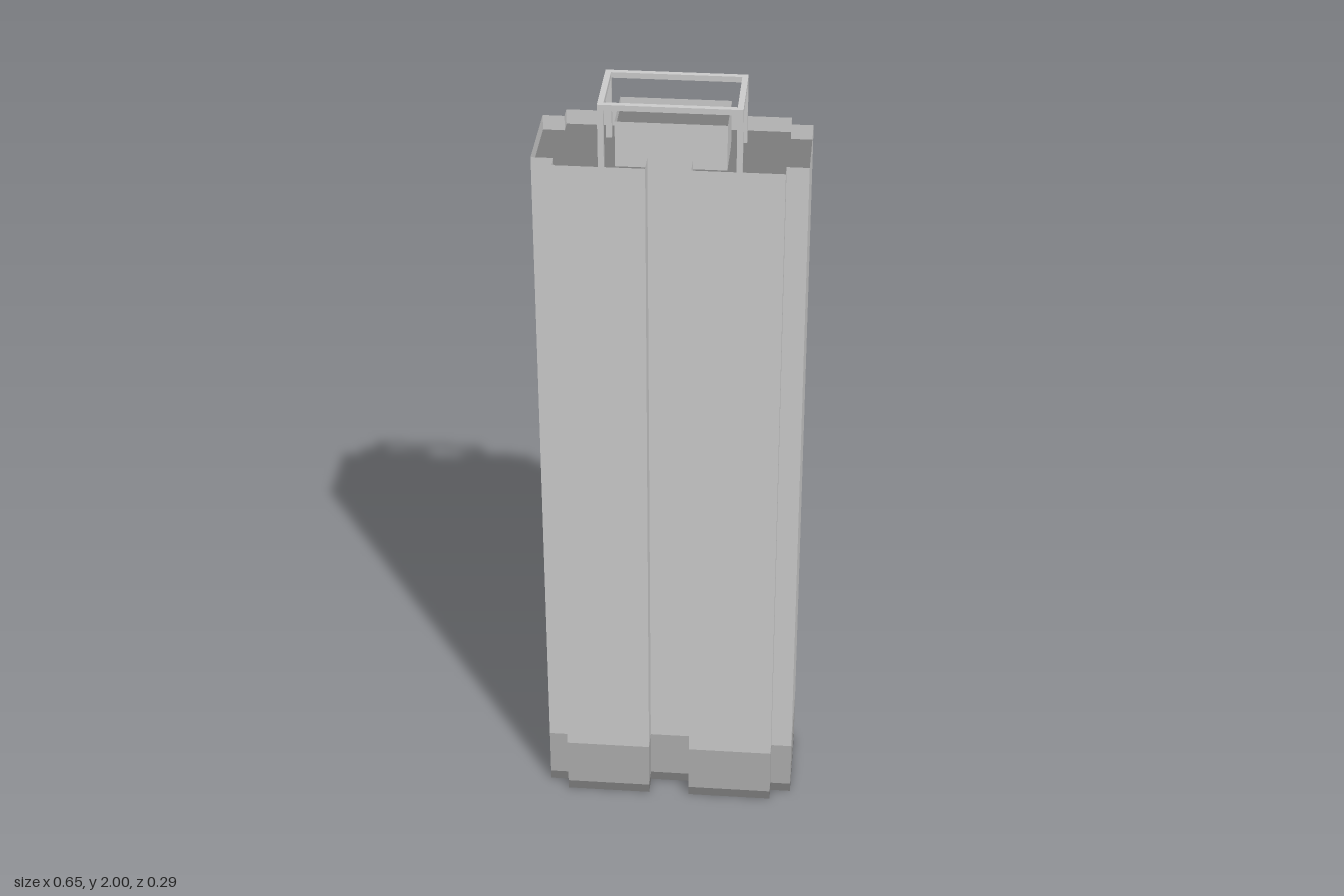
import * as THREE from 'three';

const material = (color) =>
  new THREE.MeshStandardMaterial({ color, flatShading: true, side: THREE.DoubleSide });

// Mirror one quarter of a plan into a full outline, counter-clockwise from above
function mirrorPlan(quarter) {
  const half = [...quarter, ...quarter.map(([x, y]) => [-x, y]).reverse()];
  return [...half, ...half.map(([x, y]) => [x, -y]).reverse()];
}

// Thin upright walls that follow an outline
function wallGeometry(outline, y0, y1) {
  const positions = [];
  outline.forEach(([ax, ay], i) => {
    const [bx, by] = outline[(i + 1) % outline.length];
    const a = [ax, y0, -ay], b = [bx, y0, -by], c = [bx, y1, -by], d = [ax, y1, -ay];
    positions.push(...a, ...b, ...c, ...a, ...c, ...d);
  });
  const geometry = new THREE.BufferGeometry();
  geometry.setAttribute('position', new THREE.Float32BufferAttribute(positions, 3));
  geometry.computeVertexNormals();
  return geometry;
}

// Flat slab surface that fills an outline
function slabGeometry(outline, y) {
  const shape = new THREE.Shape(outline.map(([x, z]) => new THREE.Vector2(x, z)));
  return new THREE.ShapeGeometry(shape).rotateX(-Math.PI / 2).translate(0, y, 0);
}

export function createModel() {
  const model = new THREE.Group();
  model.name = 'towerBlock';

  const wall = material(0xcccccc);
  const band = material(0xadadad);
  const dark = material(0x7c7c7c);

  const add = (parent, name, geometry, mat) => {
    const mesh = new THREE.Mesh(geometry, mat);
    mesh.name = name;
    parent.add(mesh);
    return mesh;
  };

  // Tower plan: stepped ends and a notch in the middle of each long side
  const plan = mirrorPlan([
    [0.323, 0.111], [0.27, 0.111], [0.27, 0.147], [0.053, 0.147], [0.053, 0.093],
  ]);
  const top = 1.868, roofY = 1.83;
  add(model, 'plinth', wallGeometry(plan, 0, 0.025), dark);
  add(model, 'lowerStorey', wallGeometry(plan, 0.025, 0.155), band);
  add(model, 'towerWalls', wallGeometry(plan, 0.155, top), wall);
  add(model, 'roof', slabGeometry(plan, roofY), dark);

  // Plant room on the roof, with its own low parapet
  const room = mirrorPlan([[0.131, 0.066]]);
  add(model, 'plantRoomWalls', wallGeometry(room, roofY, 1.945), wall);
  add(model, 'plantRoomRoof', slabGeometry(room, 1.92), dark);

  // Open frame around the plant room
  const frame = new THREE.Group();
  frame.name = 'roofFrame';
  model.add(frame);
  const t = 0.014, fx = 0.168 - t / 2, fz = 0.095 - t / 2;
  for (const s of [-1, 1]) {
    add(frame, 'longRail', new THREE.BoxGeometry(2 * fx + t, t, t), wall)
      .position.set(0, 2 - t / 2, s * fz);
    add(frame, 'shortRail', new THREE.BoxGeometry(t, t, 2 * fz - t), wall)
      .position.set(s * fx, 2 - t / 2, 0);
    for (const side of [-1, 1]) {
      const height = 2 - t - roofY;
      add(frame, 'post', new THREE.BoxGeometry(t, height, t), wall)
        .position.set(s * fx, roofY + height / 2, side * fz);
    }
  }
  return model;
}
